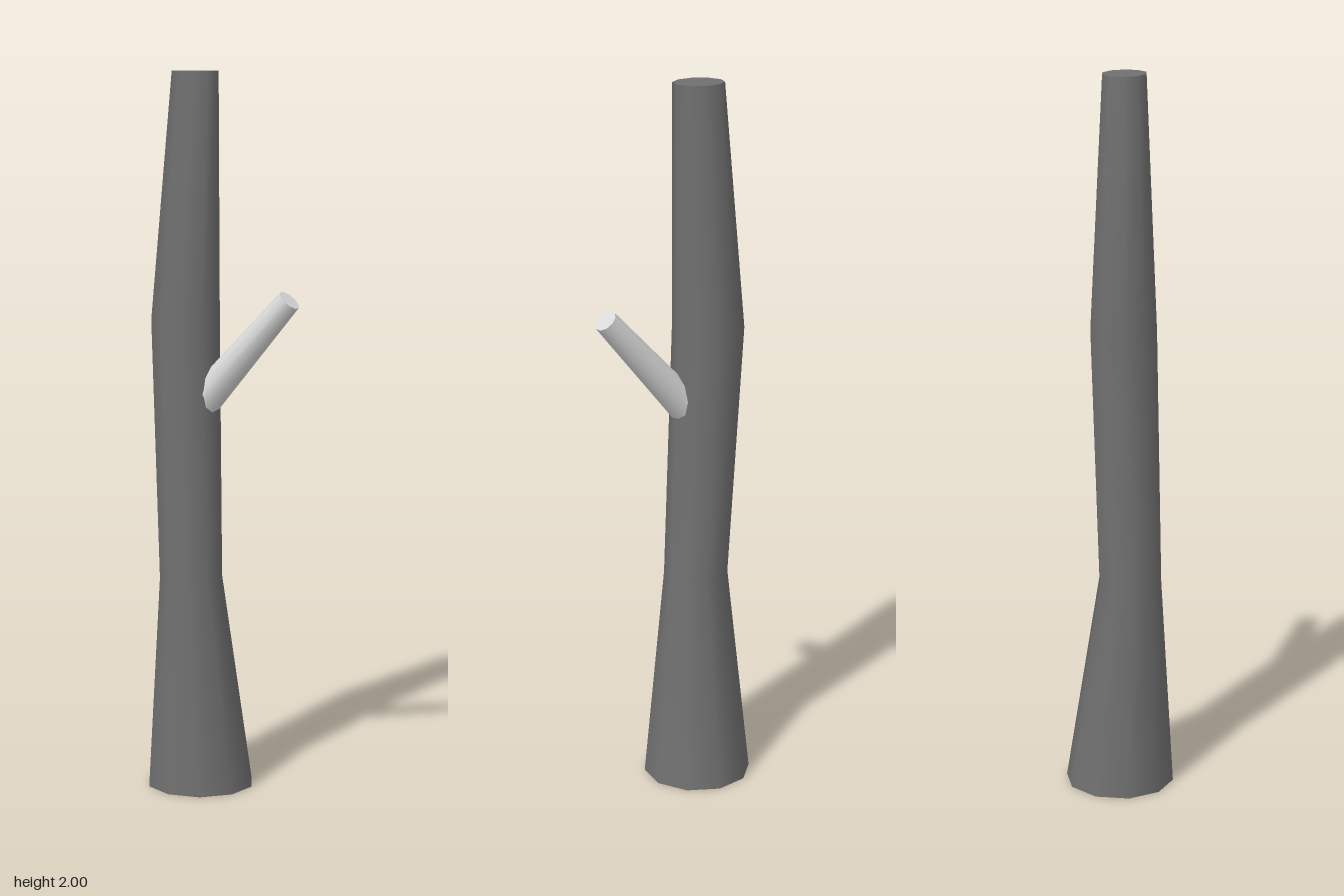
import * as THREE from 'three';
import { mergeVertices } from 'three/addons/utils/BufferGeometryUtils.js';

const SIDES = 10;

// Smooth trunk through horizontal oval rings: [y, centre x, centre z, radius x, radius z, twist]
function loft(rings) {
  const n = rings.length - 1;
  let geo = new THREE.CylinderGeometry(1, 1, 1, SIDES, n, false, Math.PI / 2);
  geo.deleteAttribute('uv');
  geo = mergeVertices(geo); // closes the side seam, keeps the caps separate
  const p = geo.attributes.position;
  for (let i = 0; i < p.count; i++) {
    const [y, cx, cz, rx, rz, twist] = rings[Math.round((p.getY(i) + 0.5) * n)];
    const x = p.getX(i), z = p.getZ(i), c = Math.cos(twist), s = Math.sin(twist);
    p.setXYZ(i, cx + (x * c + z * s) * rx, y, cz + (z * c - x * s) * rz);
  }
  geo.computeVertexNormals();
  return geo;
}

export function createModel() {
  const bark = new THREE.MeshStandardMaterial({ color: 0x707070 });
  bark.name = 'dark bark';
  const paleWood = new THREE.MeshStandardMaterial({ color: 0xdadada });
  paleWood.name = 'pale wood';

  const model = new THREE.Group();
  model.name = 'deadTree';

  // Crooked trunk, flared at the foot
  const trunk = new THREE.Mesh(loft([
    [0, 0, -0.08, 0.152, 0.152, 0.14],
    [0.6, -0.032, -0.085, 0.088, 0.09, 0.05],
    [1.32, -0.022, -0.115, 0.093, 0.1, 0],
    [2, -0.015, -0.083, 0.06, 0.071, 0],
  ]), bark);
  trunk.name = 'trunk';
  model.add(trunk);

  // Short broken branch rising forward from the trunk
  const root = new THREE.Vector3(-0.024, 1.07, -0.075);
  const tip = new THREE.Vector3(0.061, 1.388, 0.2);
  const axis = tip.clone().sub(root);
  const branch = new THREE.Mesh(new THREE.CylinderGeometry(0.033, 0.05, axis.length(), SIDES), paleWood);
  branch.name = 'branch';
  branch.position.copy(root).add(tip).multiplyScalar(0.5);
  branch.quaternion.setFromUnitVectors(new THREE.Vector3(0, 1, 0), axis.normalize());
  model.add(branch);

  return model;
}
